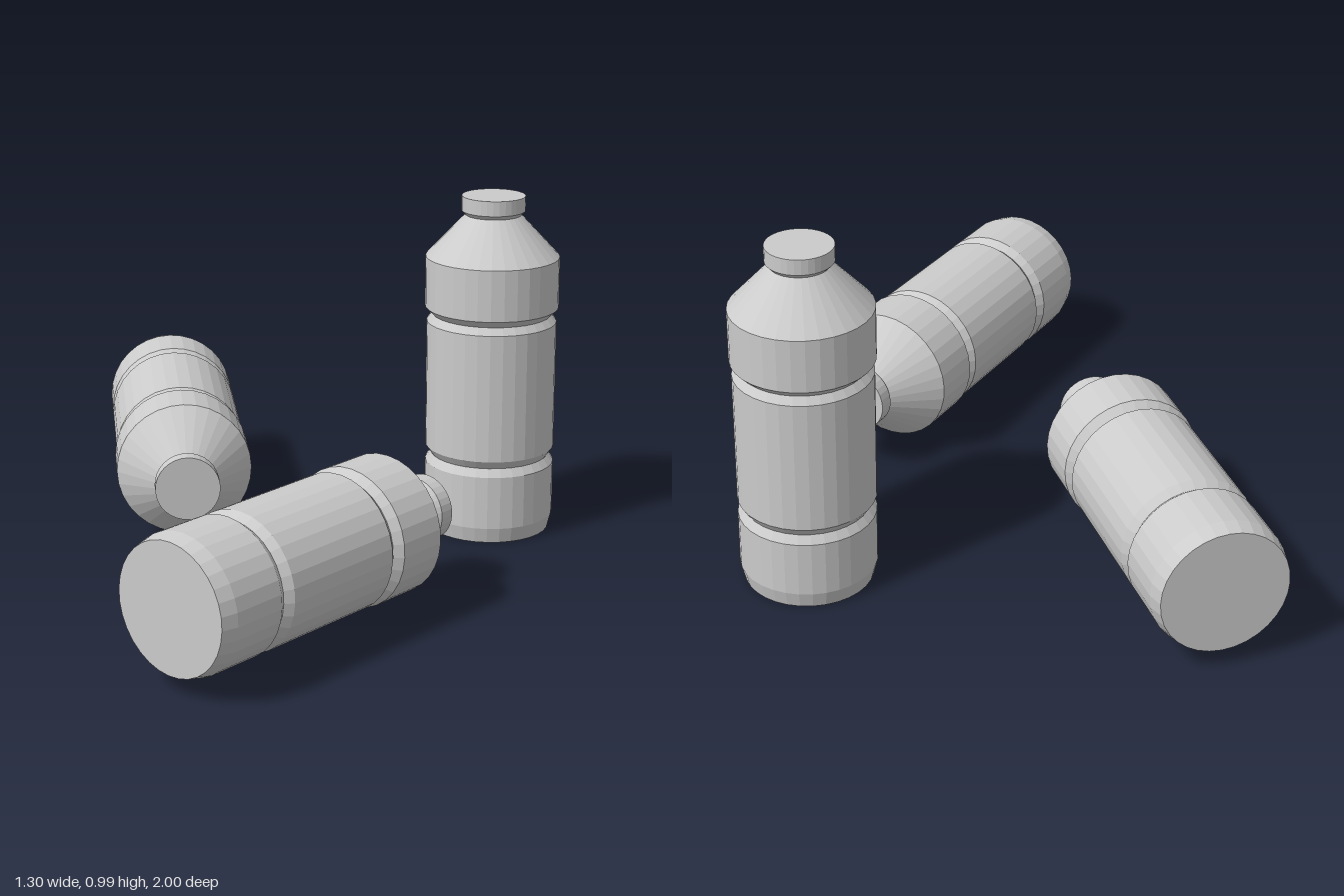
import * as THREE from 'three';

// Bottle outline from base centre to cap centre: [radius, height]
const PROFILE = [
  [0, 0], [0.176, 0], [0.187, 0.045],       // chamfered base
  [0.187, 0.2], [0.171, 0.223], [0.187, 0.247], // lower groove
  [0.187, 0.62], [0.171, 0.641], [0.192, 0.662], // upper groove
  [0.192, 0.81], [0.08, 0.93],              // shoulder
];
const CAP = [[0.08, 0.93], [0.091, 0.942], [0.091, 0.985], [0, 0.985]];
const SIDES = 32;

const material = new THREE.MeshStandardMaterial({ color: 0xcccccc, flatShading: true });

function lathe(points, name) {
  const geometry = new THREE.LatheGeometry(points.map(([r, y]) => new THREE.Vector2(r, y)), SIDES);
  const mesh = new THREE.Mesh(geometry, material);
  mesh.name = name;
  return mesh;
}

// A bottle whose base centre sits at `base`, with its cap pointing along `axis`
function makeBottle(name, base, axis) {
  const bottle = new THREE.Group();
  bottle.name = name;
  bottle.add(lathe(PROFILE, 'bottleBody'), lathe(CAP, 'bottleCap'));
  bottle.position.set(...base);
  bottle.quaternion.setFromUnitVectors(new THREE.Vector3(0, 1, 0), new THREE.Vector3(...axis).normalize());
  return bottle;
}

export function createModel() {
  const model = new THREE.Group();
  model.name = 'bottles';
  model.add(
    makeBottle('standingBottle', [0.457, 0, -0.265], [0, 1, 0]),
    makeBottle('lyingBackBottle', [-0.44, 0.227, -1], [0, 0, 1]),
    makeBottle('lyingFrontBottle', [-0.535, 0.227, 0.866], [0.742, 0, -0.67]),
  );
  return model;
}
